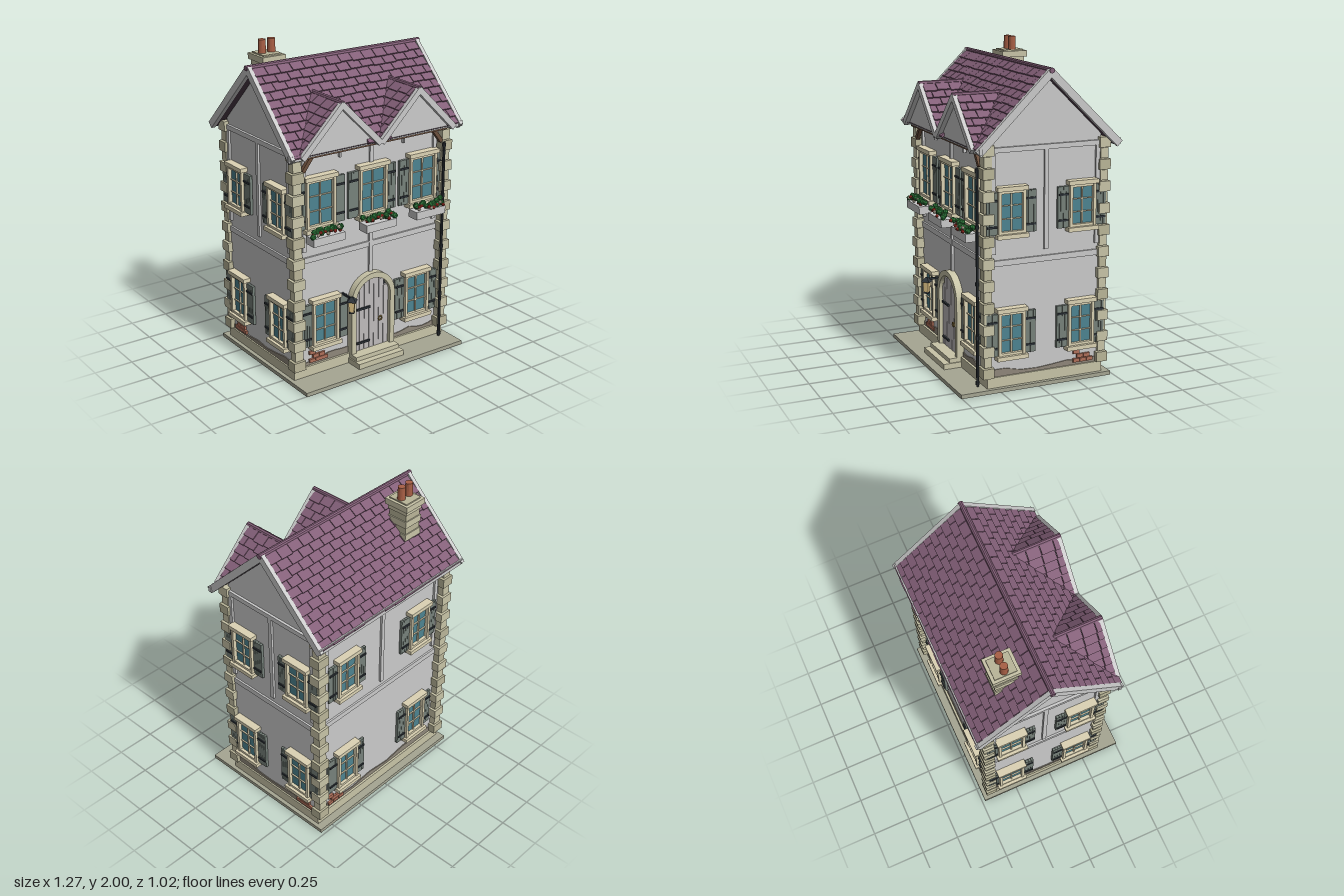
import * as THREE from 'three';
import { mergeGeometries } from 'three/addons/utils/BufferGeometryUtils.js';

const mat = (color) => new THREE.MeshStandardMaterial({ color, flatShading: true });
const M = {
  plaster: mat(0xcccccc), timber: mat(0xc4c4c6), stone: mat(0xc9c5a8), stone2: mat(0xbab699), cream: mat(0xdcd3b4),
  glass: mat(0x4d8491), shutter: mat(0x77827b), iron: mat(0x2d3339), tile: mat(0x846079), deck: mat(0x4c3b48),
  base: mat(0xa6a693), dirt: mat(0x8f877a), brick: mat(0xb0705a), pot: mat(0xa85f45), door: mat(0xbfbbbc),
  brown: mat(0x6b4f3c), leaf: mat(0x2f7a3c), red: mat(0xc0392f), blossom: mat(0xe6d8c0), lamp: mat(0xe6c98a), brass: mat(0x8a7440),
};
let seed = 7;
const rand = () => (seed = (seed * 16807) % 2147483647) / 2147483647;

function add(parent, name, geo, m, x = 0, y = 0, z = 0) {
  const mesh = new THREE.Mesh(geo, m);
  mesh.name = name;
  mesh.position.set(x, y, z);
  parent.add(mesh);
  return mesh;
}
const box = (p, name, m, w, h, d, x, y, z) => add(p, name, new THREE.BoxGeometry(w, h, d), m, x, y, z);
const cyl = (p, name, m, r, h, x, y, z, n = 12, r2 = r) => add(p, name, new THREE.CylinderGeometry(r2, r, h, n), m, x, y, z);
function sub(parent, name, x = 0, y = 0, z = 0, ry = 0) {
  const g = new THREE.Group();
  g.name = name;
  g.position.set(x, y, z);
  g.rotation.order = 'YXZ';
  g.rotation.y = ry;
  parent.add(g);
  return g;
}
const polygon = (pts) => new THREE.Shape(pts.map((p) => new THREE.Vector2(...p)));
const extrude = (shape, depth) => new THREE.ExtrudeGeometry(shape, { depth, bevelEnabled: false, curveSegments: 14 });

// Window with bars, frame, lintel, sill and a pair of plank shutters; origin at the pane centre on the wall
function addWindow(wall, d, u, y, w, h, planter) {
  const g = sub(wall, 'window', u, y, d);
  box(g, 'glass', M.glass, w, h, 0.016, 0, 0, 0.008);
  for (const s of [-1, 1]) {
    box(g, 'frameSide', M.cream, 0.018, h + 0.02, 0.04, s * (w / 2 + 0.007), 0, 0.02);
    box(g, 'frameRail', M.cream, w, 0.016, 0.036, 0, s * (h / 2 + 0.002), 0.018);
    box(g, 'crossBar', M.cream, w, 0.006, 0.01, 0, s * h / 6, 0.02);
    const sh = sub(g, 'shutter', s * (w / 2 + 0.053), -0.005, 0);
    for (let i = -1.5; i < 2; i++) box(sh, 'plank', M.shutter, 0.0165, h + 0.015, 0.018, i * 0.018, 0, 0.014);
    for (const t of [-0.33, 0.33]) box(sh, 'strap', M.iron, 0.062, 0.012, 0.012, 0, t * h, 0.024);
  }
  box(g, 'middleBar', M.cream, 0.009, h, 0.012, 0, 0, 0.02);
  box(g, 'lintel', M.cream, w + 0.055, 0.026, 0.05, 0, h / 2 + 0.023, 0.025);
  box(g, 'sill', M.cream, w + 0.06, 0.026, 0.055, 0, -h / 2 - 0.022, 0.0275);
  if (!planter) return;
  const p = sub(g, 'planter', 0, -h / 2 - 0.045, 0.08);
  box(p, 'trough', M.timber, w + 0.05, 0.05, 0.08, 0, -0.02, 0);
  for (let i = 0; i < 24; i++) {
    const m = i % 4 === 1 ? M.red : i % 8 === 3 ? M.blossom : M.leaf;
    const r = m === M.leaf ? 0.02 : 0.012;
    add(p, m === M.leaf ? 'leaves' : 'flower', new THREE.IcosahedronGeometry(r, 0), m,
      (i / 23 - 0.5) * (w + 0.04), 0.015 + rand() * 0.03, (m === M.leaf ? 0.01 : 0.03) + (rand() - 0.5) * 0.04);
  }
}

// Staggered rows of tilted tiles; local +z runs down the slope, range(s) gives the row's ends
function addTiles(slope, length, rows, range, keep = () => true) {
  const list = [], step = length / rows, w = 0.086;
  for (let r = 0; r < rows; r++) {
    const [a, b] = range((r + 0.5) * step);
    for (let x = a - (r % 2) * w / 2; x < b; x += w) {
      const x0 = Math.max(x, a) + 0.002, x1 = Math.min(x + w, b) - 0.002;
      const l = step * 1.22 + rand() * 0.008;
      if (x1 - x0 < 0.012 || !keep((x0 + x1) / 2, (r + 0.5) * step)) continue;
      const t = new THREE.BoxGeometry(x1 - x0, 0.014, l);
      t.rotateX(-0.17).rotateZ((rand() - 0.5) * 0.04);
      list.push(t.translate((x0 + x1) / 2, 0.008, r * step + l / 2));
    }
  }
  add(slope, 'roofTiles', mergeGeometries(list), M.tile);
}

// Ragged stain along the foot of a wall
function addStain(wall, d, u0, u1) {
  const pts = [[u1, 0.08], [u0, 0.08]].reverse();
  for (let i = 0; i <= 7; i++) pts.push([u1 + (u0 - u1) * i / 7, 0.1 + rand() * 0.035]);
  add(wall, 'wornPlaster', extrude(polygon(pts), 0.006), M.dirt, 0, 0, d);
}
function addBricks(wall, d, u) {
  [[-0.02, 0.17], [0.005, 0.143], [0.05, 0.143], [-0.02, 0.116], [0.025, 0.116], [0.07, 0.116]].forEach(([x, y]) =>
    box(wall, 'exposedBrick', M.brick, 0.042, 0.023, 0.02, u + x, y, d + 0.004));
}

export function createModel() {
  const house = new THREE.Group();
  house.name = 'house';
  const ZC = -0.05;

  // Ground slab, plinth and walled body with side gables
  box(house, 'groundSlab', M.base, 1.2, 0.025, 0.985, 0, 0.0125, 0.0125);
  box(house, 'plinth', M.stone, 1.15, 0.065, 0.76, 0, 0.057, ZC);
  const body = extrude(polygon([[-0.41, 0.02], [0.31, 0.02], [0.31, 1.5], [ZC, 1.85], [-0.41, 1.5]]), 1.12);
  add(house, 'walls', body.translate(0, 0, -0.56).rotateY(-Math.PI / 2), M.plaster);

  // Each wall is a group turned outwards
  const walls = [0, 1, 2, 3].map((i) => sub(house, ['frontWall', 'rightWall', 'backWall', 'leftWall'][i], 0, 0, ZC, i * Math.PI / 2));
  walls.forEach((wall, i) => {
    const side = i % 2 === 1, d = side ? 0.56 : 0.36, half = side ? 0.36 : 0.56;
    box(wall, 'floorBand', M.timber, half * 2, 0.035, 0.014, 0, 0.783, d + 0.005);
    box(wall, 'topBeam', M.timber, half * 2, 0.03, 0.02, 0, 1.45, d + 0.006);
    for (const s of [-1, 0, 1]) {
      const low = i === 0 && s === 0 ? 0.59 : 0.84;
      box(wall, 'timberPost', M.timber, 0.026, 1.45 - low, 0.016, s * (side ? 0.335 : 0.485), (1.45 + low) / 2, d + 0.006);
    }
    if (i === 0) {
      for (const x of [-0.38, 0, 0.38]) addWindow(wall, d, x, 1.135, 0.175, 0.275, true);
      for (const x of [-0.35, 0.35]) addWindow(wall, d, x, 0.363, 0.155, 0.26);
      addStain(wall, d, -0.53, -0.16);
      addStain(wall, d, 0.16, 0.53);
      addBricks(wall, d, -0.415);
    } else {
      const u = side ? 0.228 : 0.32;
      for (const x of [-u, u]) {
        addWindow(wall, d, x, 1.087, 0.14, 0.235);
        addWindow(wall, d, x, 0.355, 0.14, 0.245);
      }
      addStain(wall, d, -half, half);
      addBricks(wall, d, [0, 0.23, -0.43, -0.27][i]);
    }
  });

  // Corner stones, alternately wide and narrow
  for (const x of [-0.55, 0.55]) for (const z of [-0.425, 0.325]) {
    for (let i = 0; i < 21; i++) {
      const w = i % 2 ? 0.058 : 0.083;
      box(house, 'cornerStone', i % 3 ? M.stone : M.stone2, w, 0.062, w * 0.86, x, 0.122 + i * 0.0665, z);
    }
  }

  // Arched door with surround, planks, hinges, handle and steps
  const door = sub(house, 'door', 0, 0, 0.31);
  const arch = (r) => {
    const s = new THREE.Shape();
    s.moveTo(-r, 0.08);
    s.lineTo(r, 0.08);
    s.lineTo(r, 0.435);
    s.absarc(0, 0.435, r, 0, Math.PI);
    s.closePath();
    return s;
  };
  const surround = arch(0.165);
  surround.holes.push(arch(0.13));
  add(door, 'doorSurround', extrude(surround, 0.045), M.stone);
  add(door, 'doorBacking', extrude(arch(0.13), 0.008), M.iron);
  for (let i = -3; i <= 3; i++) {
    const x = i * 0.037, top = 0.435 + Math.sqrt(0.13 ** 2 - (Math.abs(x) + 0.008) ** 2);
    box(door, 'doorPlank', M.door, 0.034, top - 0.08, 0.02, x, (top + 0.08) / 2, 0.012);
  }
  for (const y of [0.14, 0.37]) box(door, 'hinge', M.iron, 0.1, 0.013, 0.012, -0.065, y, 0.027);
  add(door, 'handle', new THREE.TorusGeometry(0.013, 0.005, 6, 12), M.brass, 0.065, 0.27, 0.028);
  box(door, 'upperStep', M.stone, 0.33, 0.03, 0.09, 0, 0.072, 0.05);
  box(door, 'lowerStep', M.stone, 0.345, 0.035, 0.135, 0, 0.042, 0.0675);

  // Wall lantern
  const lamp = sub(house, 'lantern', -0.205, 0.455, 0.41);
  cyl(lamp, 'lampGlass', M.lamp, 0.02, 0.07, 0, -0.005, 0, 4, 0.027);
  cyl(lamp, 'lampCap', M.iron, 0.042, 0.028, 0, 0.044, 0, 4, 0.008);
  cyl(lamp, 'lampFoot', M.iron, 0.022, 0.01, 0, -0.043, 0, 4);
  box(lamp, 'lampArm', M.iron, 0.01, 0.012, 0.1, 0, 0.045, -0.05);

  // Drainpipe
  cyl(house, 'drainpipe', M.iron, 0.009, 1.32, 0.52, 0.69, 0.368, 8);
  for (const y of [0.05, 0.33, 0.66, 1.0, 1.33]) cyl(house, 'pipeCollar', M.iron, 0.013, 0.02, 0.52, y, 0.368, 8);

  // Main roof: two tiled slopes with verge boards and eaves boards
  const pitch = Math.atan2(0.44, 0.45), len = 0.62;
  for (const front of [true, false]) {
    const slope = sub(house, front ? 'frontSlope' : 'backSlope', 0, 1.89, ZC, front ? 0 : Math.PI);
    slope.rotation.x = pitch;
    box(slope, 'roofDeck', M.deck, 1.21, 0.025, len, 0, -0.014, len / 2);
    const clearOfGable = (x, s) => 1.89 - s * Math.sin(pitch) > 1.74 - Math.abs(Math.abs(x) - 0.28) - 0.06;
    addTiles(slope, len - 0.01, 11, () => [-0.605, 0.605], front ? clearOfGable : undefined);
    for (const x of [-0.615, 0.615]) box(slope, 'vergeBoard', M.timber, 0.026, 0.045, len + 0.02, x, -0.004, len / 2 + 0.004);
  }
  box(house, 'backEavesBoard', M.timber, 1.25, 0.035, 0.022, 0, 1.46, -0.495);
  for (const x of [-0.585, 0.585]) box(house, 'frontEavesBoard', M.timber, 0.1, 0.035, 0.022, x, 1.458, 0.39);
  box(house, 'valleyFoot', M.timber, 0.06, 0.03, 0.04, 0, 1.46, 0.4);
  cyl(house, 'ridge', M.tile, 0.016, 1.27, 0, 1.895, ZC, 10).rotation.z = Math.PI / 2;

  // Pair of front gables
  for (const cx of [-0.28, 0.28]) {
    const gable = sub(house, 'frontGable', cx);
    add(gable, 'gableWall', extrude(polygon([[-0.28, 1.445], [0.28, 1.445], [0, 1.725]]), 0.34), M.plaster, 0, 0, 0.05);
    for (const s of [-1, 1]) {
      const slope = sub(gable, 'gableSlope', 0, 1.735, 0, s * Math.PI / 2);
      slope.rotation.x = Math.PI / 4;
      addTiles(slope, 0.385, 7, (t) => {
        const back = ZC + (1.89 - (1.735 - t * Math.SQRT1_2)) / 0.978 - 0.02;
        return s > 0 ? [-0.4, -back] : [back, 0.4];
      });
      box(slope, 'gableBoard', M.timber, 0.03, 0.036, 0.4, -s * 0.408, -0.006, 0.196);
    }
    cyl(gable, 'gableRidge', M.tile, 0.015, 0.33, 0, 1.738, 0.255, 8).rotation.x = Math.PI / 2;
  }
  // Overhang beam and diagonal brackets
  box(house, 'overhangBeam', M.brown, 1.06, 0.014, 0.06, 0, 1.44, 0.35);
  for (const s of [-1, 1]) {
    const br = box(house, 'bracket', M.brown, 0.024, 0.12, 0.024, s * 0.475, 1.4, 0.345);
    br.rotation.z = s * 0.65;
    box(house, 'hangingPeg', M.timber, 0.01, 0.05, 0.02, s * 0.235, 1.41, 0.325);
  }

  // Chimney of alternating courses with two pots
  const chimney = sub(house, 'chimney', -0.37, 0, -0.24);
  for (let i = 0; i < 6; i++) {
    const w = i % 2 ? 0.135 : 0.122;
    box(chimney, 'course', i % 2 ? M.stone : M.stone2, w, 0.044, w + 0.008, 0, 1.642 + i * 0.044, 0);
  }
  box(chimney, 'chimneyCap', M.stone, 0.16, 0.038, 0.172, 0, 1.89, 0);
  box(chimney, 'capTop', M.stone2, 0.125, 0.012, 0.135, 0, 1.911, 0);
  for (const x of [-0.033, 0.033]) cyl(chimney, 'chimneyPot', M.pot, 0.025, 0.09, x, 1.955, 0, 14, 0.023);

  return house;
}
